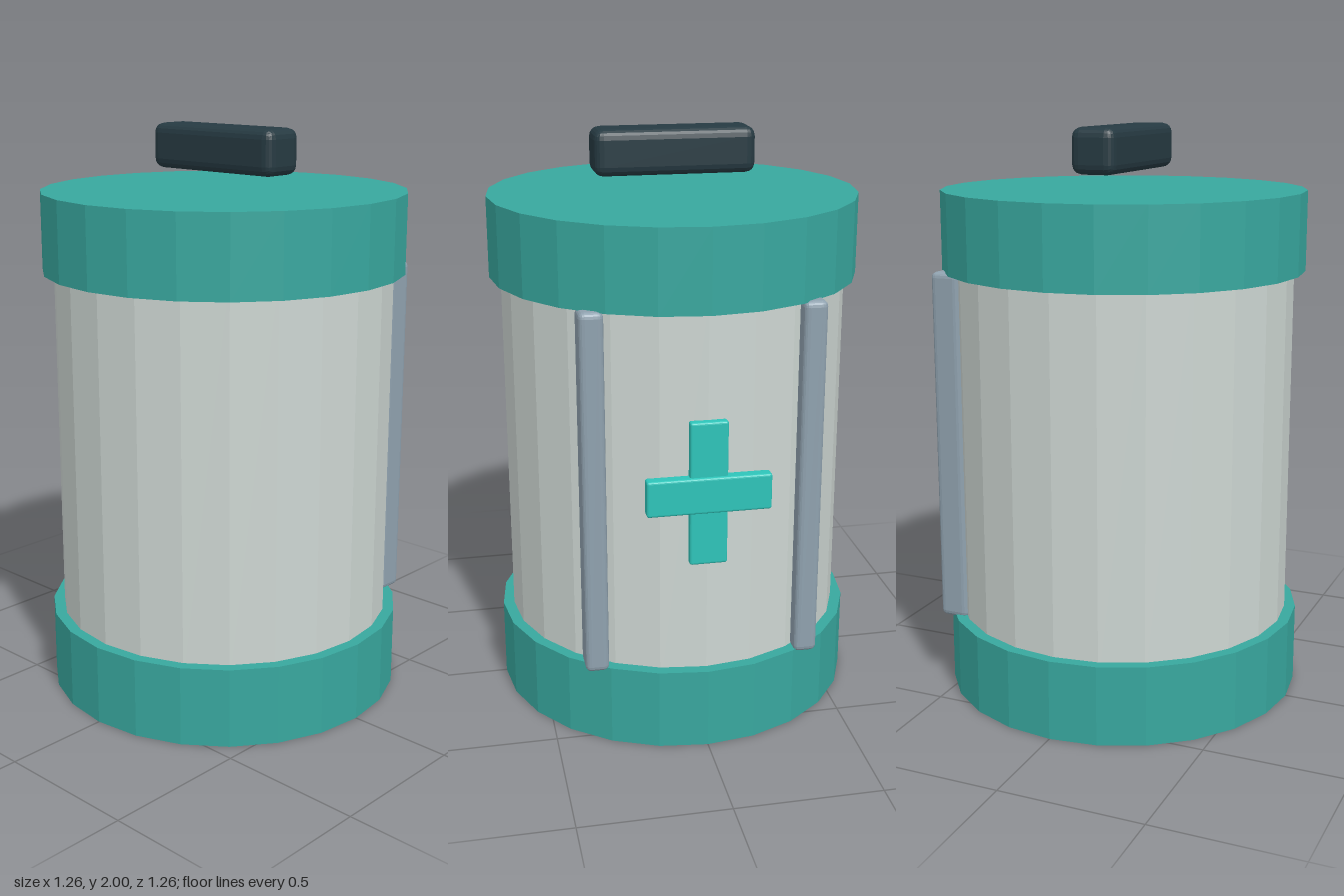
import * as THREE from 'three';
import { RoundedBoxGeometry } from 'three/addons/geometries/RoundedBoxGeometry.js';

const material = (name, color) => {
  const m = new THREE.MeshStandardMaterial({ color, flatShading: true });
  m.name = name;
  return m;
};

export function createModel() {
  const teal = material('teal', 0x38a79e);
  const paleGrey = material('pale grey', 0xcdd6d2);
  const slate = material('slate', 0x8fa1ae);
  const darkSlate = material('dark slate', 0x263a42);
  const turquoise = material('turquoise', 0x2ec4b9);

  const model = new THREE.Group();
  model.name = 'medicalCanister';

  const add = (name, geometry, mat, x, y, z) => {
    const mesh = new THREE.Mesh(geometry, mat);
    mesh.name = name;
    mesh.position.set(x, y, z);
    model.add(mesh);
  };
  const drum = (name, radius, y0, y1, mat) =>
    add(name, new THREE.CylinderGeometry(radius, radius, y1 - y0, 24), mat, 0, (y0 + y1) / 2, 0);
  const block = (name, w, h, d, bevel, mat, x, y, z) =>
    add(name, new RoundedBoxGeometry(w, h, d, 2, bevel), mat, x, y, z);

  // Canister: body between two wider caps
  drum('body', 0.593, 0.2, 1.58, paleGrey);
  drum('bottomCap', 0.632, 0, 0.28, teal);
  drum('topCap', 0.632, 1.51, 1.785, teal);

  // Carrying handle hovering above the lid
  block('handle', 0.55, 0.155, 0.157, 0.033, darkSlate, 0, 1.9225, 0);

  // Mounting rails on the back
  for (const side of [-1, 1]) {
    block(side > 0 ? 'leftRail' : 'rightRail', 0.08, 1.245, 0.107, 0.02, slate, side * 0.36, 0.892, -0.494);
  }

  // Raised cross on the back, the horizontal bar slightly proud
  block('crossVertical', 0.125, 0.49, 0.034, 0.008, turquoise, 0, 0.915, -0.6);
  block('crossHorizontal', 0.41, 0.122, 0.044, 0.008, turquoise, 0, 0.915, -0.608);

  return model;
}
